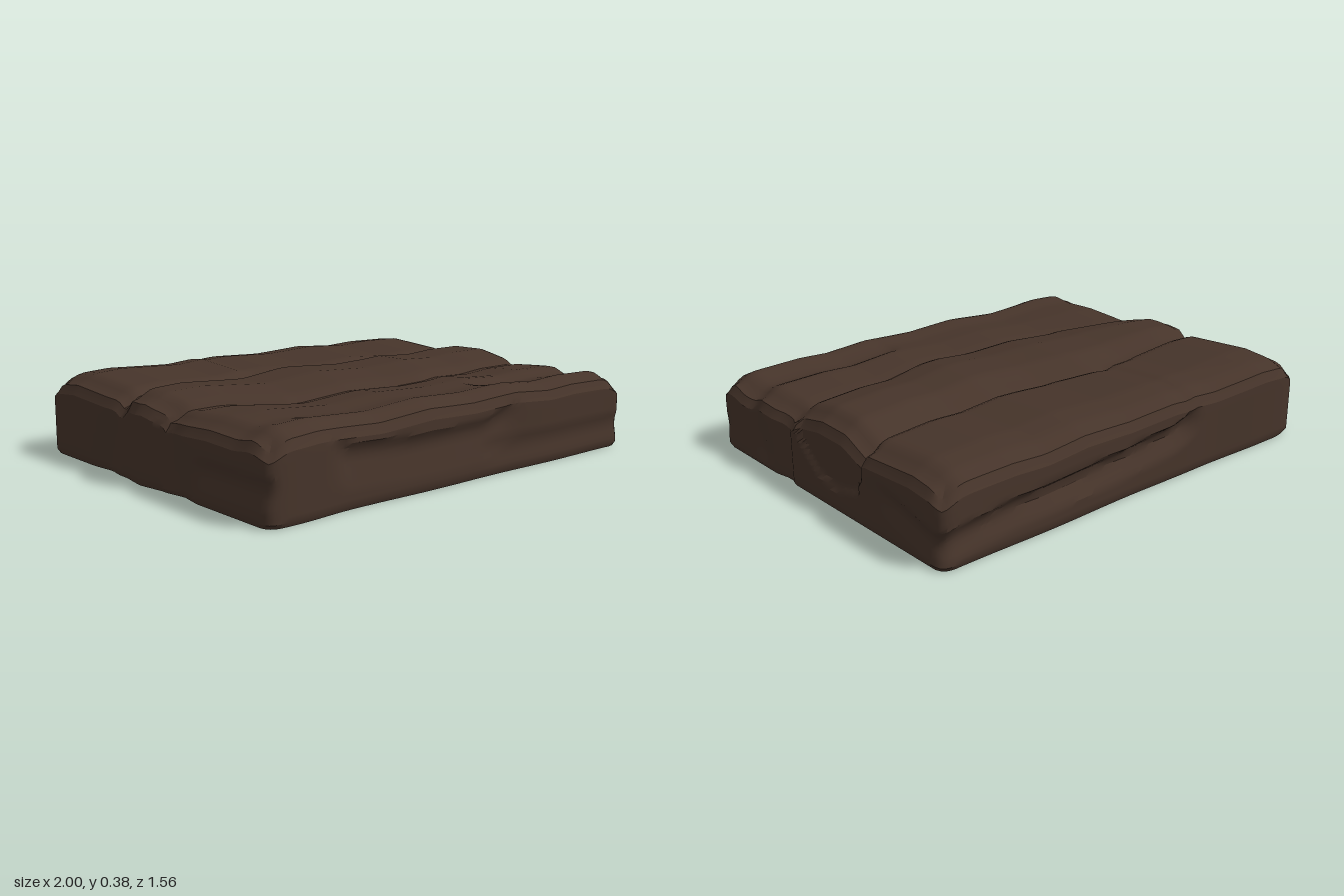
import * as THREE from 'three';
import { mergeVertices, toCreasedNormals } from 'three/addons/utils/BufferGeometryUtils.js';

const HX = 0.98, HZ = 0.76, BASE = 0.012;

// piecewise linear curve through [position, value] pairs
function along(points, p) {
  if (p <= points[0][0]) return points[0][1];
  for (let i = 1; i < points.length; i++) {
    const [a, va] = points[i - 1], [b, vb] = points[i];
    if (p <= b) return va + (vb - va) * (p - a) / (b - a);
  }
  return points[points.length - 1][1];
}
const step = (p, a, b) => THREE.MathUtils.smoothstep(p, a, b);

// the two long cracks running across the top
const backCrack = [[-1, -0.2], [-0.5, -0.23], [-0.25, -0.28], [0, -0.23], [0.2, -0.22], [0.6, -0.23], [1, -0.27]];
const frontCrack = [[-1, 0.13], [-0.75, 0.18], [-0.5, 0.28], [0, 0.29], [0.2, 0.31], [0.5, 0.25], [1, 0.2]];

// height from back to front, and its gentle swell from right to left
const strata = [[-0.76, 0.345], [-0.68, 0.362], [-0.57, 0.374], [-0.35, 0.36], [-0.27, 0.355], [-0.235, 0.325],
  [-0.2, 0.337], [-0.1, 0.378], [0.07, 0.382], [0.18, 0.362], [0.23, 0.352], [0.265, 0.324], [0.3, 0.335],
  [0.45, 0.348], [0.58, 0.342], [0.67, 0.355], [0.76, 0.335]];
const swell = [[-1, -0.015], [-0.75, 0], [-0.45, -0.015], [-0.2, 0.005], [0.05, -0.005], [0.3, 0.007],
  [0.5, -0.008], [0.65, 0], [0.85, -0.005], [1, -0.015]];

function topHeight(x, v) {
  let h = along(strata, v) + along(swell, x);
  // short crack near the front left, closed by a step
  h -= 0.022 * step(x, 0.22, 0.29) * along([[0.48, 0], [0.53, 1], [0.56, 0.7], [0.68, 0]], v);
  // cross step in the back stratum
  if (v < -0.23) h += 0.01 * (1 - step(x, -0.33, -0.28)) - 0.005;
  // worn rim
  h -= 0.035 * step(Math.abs(x), 0.88, HX) + 0.012 * step(Math.abs(v), 0.69, HZ);
  return h;
}

// carved depth of a side: sharp overhang above the line, slow return below it
const ledge = (y, line, depth, drop) =>
  depth * along([[line - drop, 0], [line - 0.035, 1], [line, 0.8], [line + 0.025, 0]], y);

const frontLine = [[-0.7, 0.28], [-0.6, 0.235], [-0.3, 0.22], [0.1, 0.225], [0.3, 0.29]];
const backLine = [[-0.35, 0.28], [-0.2, 0.23], [0.1, 0.2], [0.64, 0.18], [1, 0.14]];
const scoop = [[-0.3, 0.32], [-0.26, 0.14], [-0.1, 0.1], [0.02, 0.13], [0.13, 0.22], [0.2, 0.32]];

function frontDepth(x, y) {
  return ledge(y, along(frontLine, x), 0.022, 0.15) * step(x, -0.72, -0.6) * (1 - step(x, 0.2, 0.34))
    + ledge(y, 0.14, 0.01, 0.09) * step(x, 0.05, 0.2)
    - 0.012 * (1 - step(x, -0.85, -0.6)) + 0.003 * Math.sin(x * 9);
}
function backDepth(x, y) {
  return ledge(y, along(backLine, x), 0.04, 0.1) * step(x, -0.36, -0.25) * (1 - 0.4 * step(x, 0.3, 1))
    - 0.018 * step(x, -0.98, -0.85) * (1 - step(x, -0.75, -0.35)) + 0.003 * Math.sin(x * 8 + 1);
}
function leftDepth(z, y) {
  const inScoop = step(y - along(scoop, z), -0.015, 0.02) * step(z, -0.31, -0.28) * (1 - step(z, 0.17, 0.22));
  const slanted = along([[0.4, 0], [0.46, 1], [0.54, 0]], z - (y - 0.15) * 0.3);
  return 0.018 * inScoop + 0.016 * slanted * step(y, 0.03, 0.1)
    + 0.014 * step(z, 0.2, 0.23) * (1 - step(z, 0.27, 0.36))
    + ledge(y, 0.24 + (z + 0.3) * 0.25, 0.018, 0.1) * (1 - step(z, -0.5, -0.33)) - 0.004;
}
function rightDepth(z, y) {
  return 0.018 * along([[0.08, 0], [0.17, 1], [0.28, 0]], z + (y - 0.2) * 0.3)
    + 0.014 * along([[-0.34, 0], [-0.22, 1], [-0.14, 0]], z - (y - 0.2) * 0.4)
    + ledge(y, 0.17, 0.014, 0.1) * step(z, 0.3, 0.4)
    - 0.02 * along([[-0.16, 0], [-0.03, 1], [0.1, 0]], z);
}

function slabGeometry() {
  let geo = new THREE.BoxGeometry(2 * HX, 1, 2 * HZ, 72, 16, 64);
  geo.deleteAttribute('uv');
  geo.deleteAttribute('normal');
  geo = mergeVertices(geo);
  const pos = geo.attributes.position;
  for (let i = 0; i < pos.count; i++) {
    let x = pos.getX(i);
    const v = pos.getZ(i), t = pos.getY(i) + 0.5;
    const y = BASE + t * (topHeight(x, v) - BASE);
    // bend the rows so that they follow the cracks
    let z = v + along([[-HZ, 0], [-0.235, along(backCrack, x) + 0.235],
      [0.265, along(frontCrack, x) - 0.265], [0.53, 0]], v);
    // rounded upright corners
    const r = 0.05, dx = Math.max(0, Math.abs(x) - HX + r), dz = Math.max(0, Math.abs(z) - HZ + r);
    const sx = Math.sign(x), sz = Math.sign(z);
    if (dx > 0 && dz > 0) {
      const k = Math.max(dx, dz) / Math.hypot(dx, dz);
      x = sx * (HX - r + dx * k);
      z = sz * (HZ - r + dz * k);
    }
    // carve the sides, with a small bevel above and below
    const bevel = 0.022 * step(t, 0.86, 1) + 0.01 * (1 - step(t, 0, 0.07));
    const wx = step(Math.abs(x), HX - 0.16, HX), wz = step(Math.abs(z), HZ - 0.14, HZ);
    const cx = (sx > 0 ? leftDepth(z, y) : rightDepth(z, y)) - 0.008 + bevel;
    const cz = (sz > 0 ? frontDepth(x, y) : backDepth(x, y)) - 0.006 + bevel;
    pos.setXYZ(i, x - sx * wx * cx, y, z - sz * wz * cz);
  }
  return toCreasedNormals(geo, 0.5);
}

export function createModel() {
  const group = new THREE.Group();
  group.name = 'stoneSlab';
  const stone = new THREE.MeshStandardMaterial({ color: 0x46342a });
  stone.name = 'darkBrownStone';
  const slab = new THREE.Mesh(slabGeometry(), stone);
  slab.name = 'slab';
  group.add(slab);
  return group;
}
